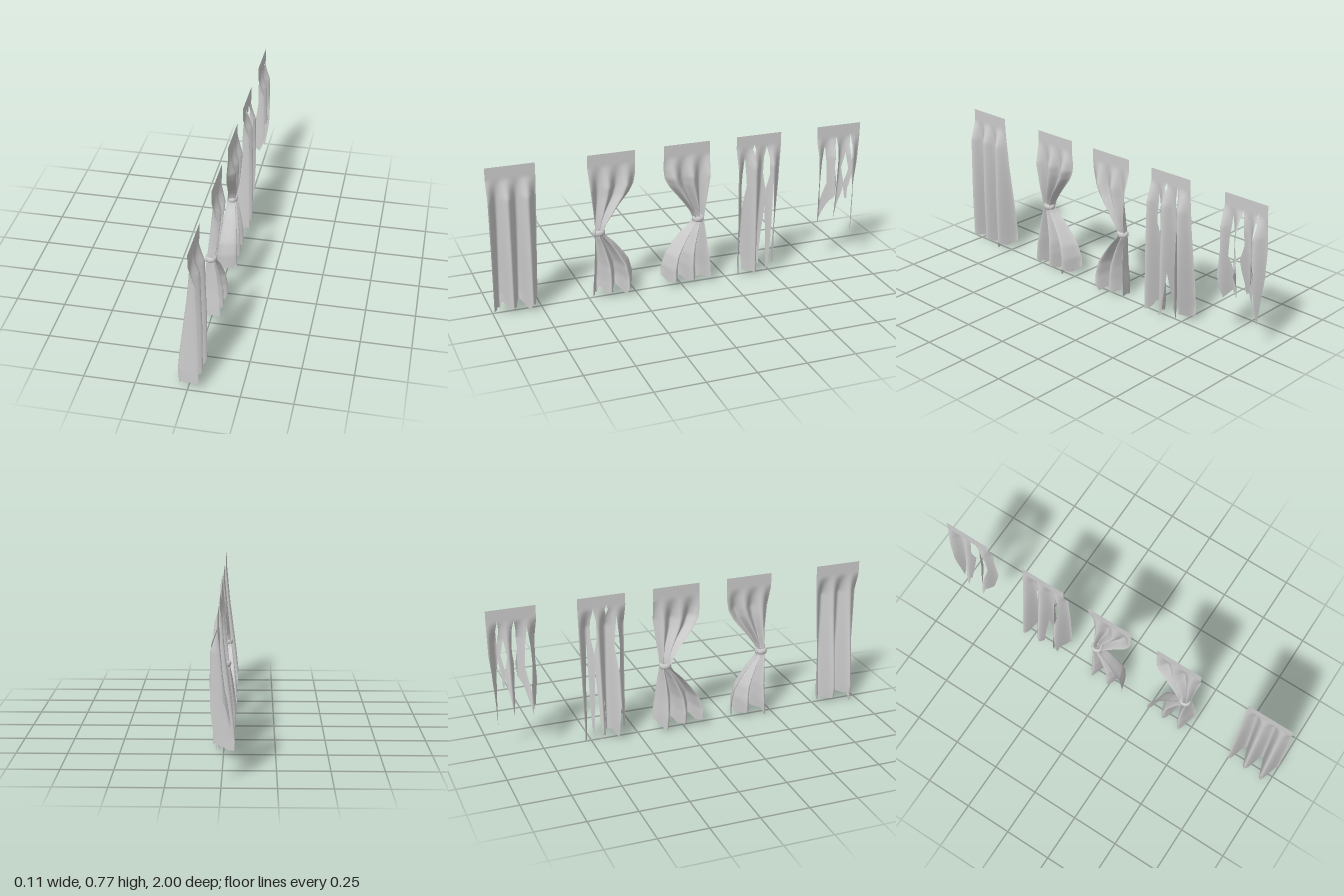
import * as THREE from 'three';
import { mergeGeometries, mergeVertices } from 'three/addons/utils/BufferGeometryUtils.js';

const TOP = 0.775, WIDTH = 0.247;
const cloth = new THREE.MeshStandardMaterial({ color: 0xcccccc, side: THREE.DoubleSide });

// piecewise linear lookup in a list of [position, value] with rising positions
function sample(points, p) {
  if (p <= points[0][0]) return points[0][1];
  for (let i = 1; i < points.length; i++) {
    const [a, va] = points[i - 1], [b, vb] = points[i];
    if (p <= b) return va + (vb - va) * (p - a) / (b - a);
  }
  return points[points.length - 1][1];
}

// depth range of the pleats by height
const pleatBack = [[0, -0.05], [0.08, -0.055], [0.2, -0.043], [0.5, -0.005], [0.71, 0.014]];
const pleatFront = [[0, 0.053], [0.3, 0.054], [0.61, 0.047], [0.7, 0.016], [0.71, 0.014]];
const tiedBack = [[0, -0.05], [0.08, -0.055], [0.25, -0.036], [0.357, -0.02], [0.5, -0.006], [0.71, 0.014]];
const tiedFront = [[0, 0.053], [0.15, 0.048], [0.27, 0.032], [0.357, 0.016], [0.45, 0.032], [0.6, 0.042], [0.7, 0.016], [0.71, 0.014]];

// side edges of a gathered curtain, across by height
const tieEdge = [[0, 0.124], [0.1, 0.118], [0.2, 0.108], [0.3, 0.098], [0.357, 0.093], [0.42, 0.097],
  [0.5, 0.106], [0.6, 0.118], [0.7, 0.1235]];
const freeEdge = [[0, -0.122], [0.1, -0.12], [0.17, -0.1], [0.22, -0.067], [0.28, -0.02], [0.33, 0.03], [0.357, 0.043],
  [0.4, 0.025], [0.45, -0.01], [0.5, -0.05], [0.55, -0.09], [0.6, -0.116], [0.65, -0.1235]];

// ragged hems: [across 0..1, height]
const plainHem = [[0, 0.04], [0.05, 0.03], [0.1, 0.02], [0.2, 0.045], [0.25, 0.005], [0.4, 0.035], [0.5, 0.015],
  [0.6, 0.04], [0.65, 0.025], [0.75, 0.04], [0.8, 0], [0.9, 0.025], [1, 0.035]];
const tornHem = [[0, 0.03], [0.1, 0.03], [0.2, 0.06], [0.3, 0.01], [0.4, 0.05], [0.5, 0.03], [0.6, 0.02], [0.7, 0.03],
  [0.8, 0.005], [0.85, 0.06], [0.9, 0.03], [1, 0.02]];
const shredHem = [[0, 0.42], [0.05, 0.32], [0.13, 0.15], [0.22, 0.36], [0.32, 0.36], [0.43, 0.22], [0.48, 0.29], [0.52, 0.28],
  [0.55, 0.4], [0.65, 0.36], [0.8, 0.22], [0.85, 0.27], [0.95, 0.24], [1, 0.36]];

// tears: position across, then half width by height
const solidEdges = [{ u: 0, w: [[0, 0]] }, { u: 1, w: [[0, 0]] }];
const tornCuts = [
  solidEdges[0],
  { u: 0.2, w: [[0, 0.06], [0.2, 0.04], [0.45, 0.015], [0.52, 0]] },
  { u: 0.32, w: [[0, 0.04], [0.2, 0.025], [0.38, 0], [0.47, 0], [0.56, 0.05], [0.65, 0.05], [0.71, 0]] },
  { u: 0.52, w: [[0, 0.05], [0.1, 0.035], [0.25, 0]] },
  { u: 0.6, w: [[0.67, 0], [0.7, 0.035], [0.72, 0]] },
  { u: 0.8, w: [[0, 0.05], [0.1, 0.03], [0.22, 0], [0.36, 0], [0.5, 0.06], [0.57, 0.04], [0.66, 0]] },
  solidEdges[1],
];
const shredCuts = [
  { u: 0, w: [[0.25, 0.06], [0.45, 0.04], [0.55, 0], [0.68, 0]] },
  { u: 0.22, w: [[0.2, 0.06], [0.42, 0.05], [0.5, 0], [0.58, 0], [0.66, 0.03], [0.72, 0]] },
  { u: 0.32, w: [[0.2, 0.05], [0.35, 0.03], [0.42, 0], [0.45, 0], [0.53, 0.05], [0.62, 0]] },
  { u: 0.55, w: [[0.2, 0.07], [0.36, 0.06], [0.47, 0.02], [0.55, 0.07], [0.66, 0.04], [0.71, 0]] },
  { u: 0.8, w: [[0.34, 0], [0.46, 0.08], [0.56, 0.06], [0.67, 0]] },
  { u: 1, w: [[0.2, 0.05], [0.35, 0], [0.5, 0.03], [0.68, 0]] },
];

// pleated sheet made of strips between neighbouring tears
function curtainGeometry({ hem, cuts = solidEdges, tied = false, mirror = 1 }) {
  const rows = 60;
  const strips = [];
  for (let k = 0; k + 1 < cuts.length; k++) {
    const a = cuts[k], b = cuts[k + 1];
    const cols = Math.max(4, Math.round((b.u - a.u) * 60));
    const pos = [], index = [];
    for (let r = 0; r <= rows; r++) {
      for (let c = 0; c <= cols; c++) {
        const t = c / cols;
        const y = TOP + (sample(hem, a.u + (b.u - a.u) * t) - TOP) * r / rows;
        const from = a.u + sample(a.w, y), to = b.u - sample(b.w, y);
        const u = from + (to - from) * t;
        const wave = 0.5 - 0.5 * Math.cos(u * Math.PI * 5);
        const back = sample(tied ? tiedBack : pleatBack, y);
        const front = sample(tied ? tiedFront : pleatFront, y);
        const z0 = tied ? sample(freeEdge, y) : -WIDTH / 2;
        const z1 = tied ? sample(tieEdge, y) : WIDTH / 2;
        pos.push(back + (front - back) * wave, y, mirror * (z0 + (z1 - z0) * u));
        if (r < rows && c < cols) {
          const i = r * (cols + 1) + c, j = i + cols + 1;
          index.push(...(mirror > 0 ? [i, i + 1, j, i + 1, j + 1, j] : [i, j, i + 1, i + 1, j, j + 1]));
        }
      }
    }
    const g = new THREE.BufferGeometry();
    g.setAttribute('position', new THREE.Float32BufferAttribute(pos, 3));
    g.setIndex(index);
    strips.push(g);
  }
  const sheet = mergeVertices(mergeGeometries(strips), 1e-5);
  sheet.computeVertexNormals();
  return sheet;
}

export function createModel() {
  const model = new THREE.Group();
  model.name = 'curtainSet';
  const designs = [
    { name: 'plainCurtain', z: 0.877, hem: plainHem },
    { name: 'tiedCurtainFront', z: 0.37, hem: plainHem, tied: true },
    { name: 'tiedCurtainBack', z: -0.028, hem: plainHem, tied: true, mirror: -1 },
    { name: 'tornCurtain', z: -0.422, hem: tornHem, cuts: tornCuts },
    { name: 'shreddedCurtain', z: -0.8765, hem: shredHem, cuts: shredCuts },
  ];
  for (const d of designs) {
    const curtain = new THREE.Group();
    curtain.name = d.name;
    curtain.position.z = d.z;
    const sheet = new THREE.Mesh(curtainGeometry(d), cloth);
    sheet.name = 'cloth';
    curtain.add(sheet);
    if (d.tied) {
      // band holding the gathered cloth
      const band = new THREE.Mesh(new THREE.TorusGeometry(0.022, 0.01, 10, 24), cloth);
      band.name = 'tieBand';
      band.rotation.x = Math.PI / 2;
      band.scale.set(0.9, 1, 1.5);
      band.position.set(-0.002, 0.356, 0.068 * (d.mirror ?? 1));
      curtain.add(band);
    }
    model.add(curtain);
  }
  return model;
}
